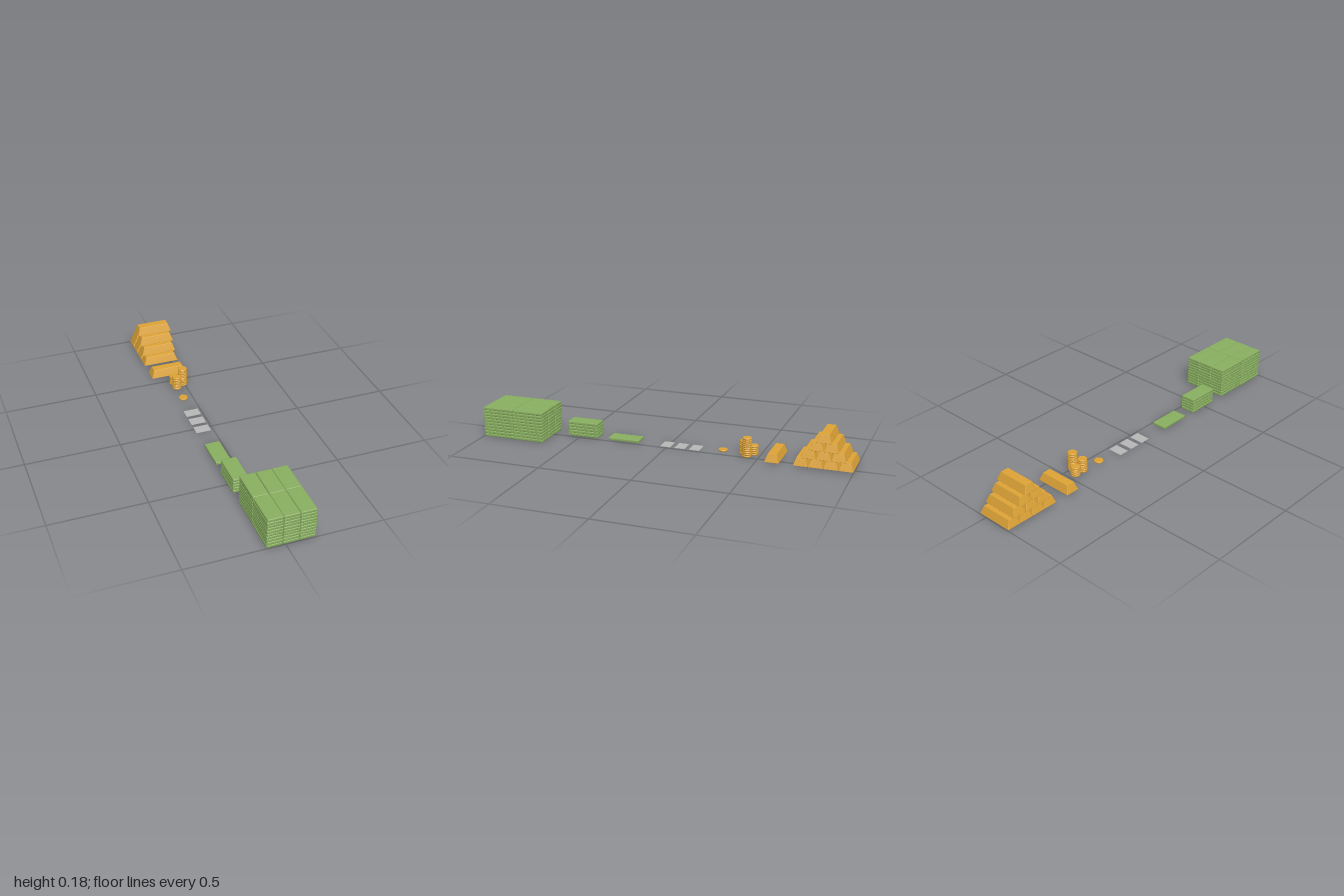
import * as THREE from 'three';
import { RoundedBoxGeometry } from 'three/addons/geometries/RoundedBoxGeometry.js';
import { mergeVertices } from 'three/addons/utils/BufferGeometryUtils.js';

const gold = new THREE.MeshStandardMaterial({ name: 'gold', color: 0xdca236 });
const green = new THREE.MeshStandardMaterial({ name: 'banknoteGreen', color: 0x88ae60 });
const silver = new THREE.MeshStandardMaterial({ name: 'cardSilver', color: 0xb6b6b6 });

// Small repeatable jitter in -1..1
let seed = 7;
function jitter() {
  seed = (seed * 16807) % 2147483647;
  return (seed / 2147483647) * 2 - 1;
}

// Soft-edged box whose top is inset on every side
function softBox(w, h, d, radius, inset = 0) {
  let g = new RoundedBoxGeometry(w, h, d, 1, radius);
  const p = g.attributes.position;
  for (let i = 0; i < p.count; i++) {
    const t = p.getY(i) / h + 0.5;
    p.setX(i, p.getX(i) * (1 - (2 * inset * t) / w));
    p.setZ(i, p.getZ(i) * (1 - (2 * inset * t) / d));
  }
  g.deleteAttribute('normal');
  g.deleteAttribute('uv');
  g = mergeVertices(g, 1e-5);
  g.computeVertexNormals();
  return g.translate(0, h / 2, 0);
}

const BAR_H = 0.045, NOTE_H = 0.0165, COIN_H = 0.0105;
const barGeo = softBox(0.2, BAR_H, 0.076, 0.002, 0.0155);
const noteGeo = softBox(0.0815, NOTE_H, 0.173, 0.004);
const cardGeo = new THREE.BoxGeometry(0.081, 0.002, 0.056);

// Coin with a bevelled rim
const r = 0.025;
const coinGeo = new THREE.LatheGeometry([
  [0, 0], [r - 0.003, 0], [r - 0.003, 0], [r, 0.003], [r, COIN_H - 0.003],
  [r - 0.003, COIN_H], [r - 0.003, COIN_H], [0, COIN_H],
].map(([x, y]) => new THREE.Vector2(x, y)), 20);

export function createModel() {
  const model = new THREE.Group();
  model.name = 'treasure';

  function group(name) {
    const g = new THREE.Group();
    g.name = name;
    model.add(g);
    return g;
  }
  function add(parent, name, geo, mat, x, y, z) {
    const m = new THREE.Mesh(geo, mat);
    m.name = name;
    m.position.set(x, y, z);
    parent.add(m);
    return m;
  }
  function noteStack(parent, x, z, count) {
    for (let i = 0; i < count; i++) {
      const m = add(parent, 'noteBundle', noteGeo, green,
        x + jitter() * 0.0008, i * NOTE_H, z + jitter() * 0.001);
      m.rotation.y = jitter() * 0.005;
    }
  }
  function coinStack(parent, x, z, count) {
    for (let i = 0; i < count; i++) {
      const k = count > 1 ? 0.001 : 0;
      add(parent, 'coin', coinGeo, gold, x + jitter() * k, 0.003 + i * COIN_H, z + jitter() * k);
    }
  }

  // Pyramid of gold bars, four at the base
  const pyramid = group('goldBarPyramid');
  for (let row = 0; row < 4; row++) {
    const n = 4 - row;
    for (let i = 0; i < n; i++) {
      add(pyramid, 'goldBar', barGeo, gold,
        -0.057, 0.004 + row * BAR_H, -0.847 + (i - (n - 1) / 2) * 0.0767);
    }
  }
  add(group('singleGoldBar'), 'goldBar', barGeo, gold, -0.057, 0.004, -0.583);

  // Coins
  const coins = group('coinStacks');
  coinStack(coins, -0.012, -0.44, 10);
  coinStack(coins, -0.055, -0.414, 7);
  coinStack(coins, -0.055, -0.464, 5);
  coinStack(group('singleCoin'), -0.055, -0.299, 1);

  // Flat cards
  const cards = group('cards');
  for (const z of [-0.151, -0.07, 0.01]) add(cards, 'card', cardGeo, silver, -0.054, 0.001, z);

  // Banknote bundles: one, a stack of five, and a big three by two block
  noteStack(group('singleNoteBundle'), -0.054, 0.249, 1);
  noteStack(group('smallNoteStack'), -0.054, 0.487, 5);
  const block = group('noteBlock');
  for (const x of [-0.054, 0.029, 0.112]) {
    for (const z of [0.736, 0.911]) noteStack(block, x, z, 10);
  }
  return model;
}
